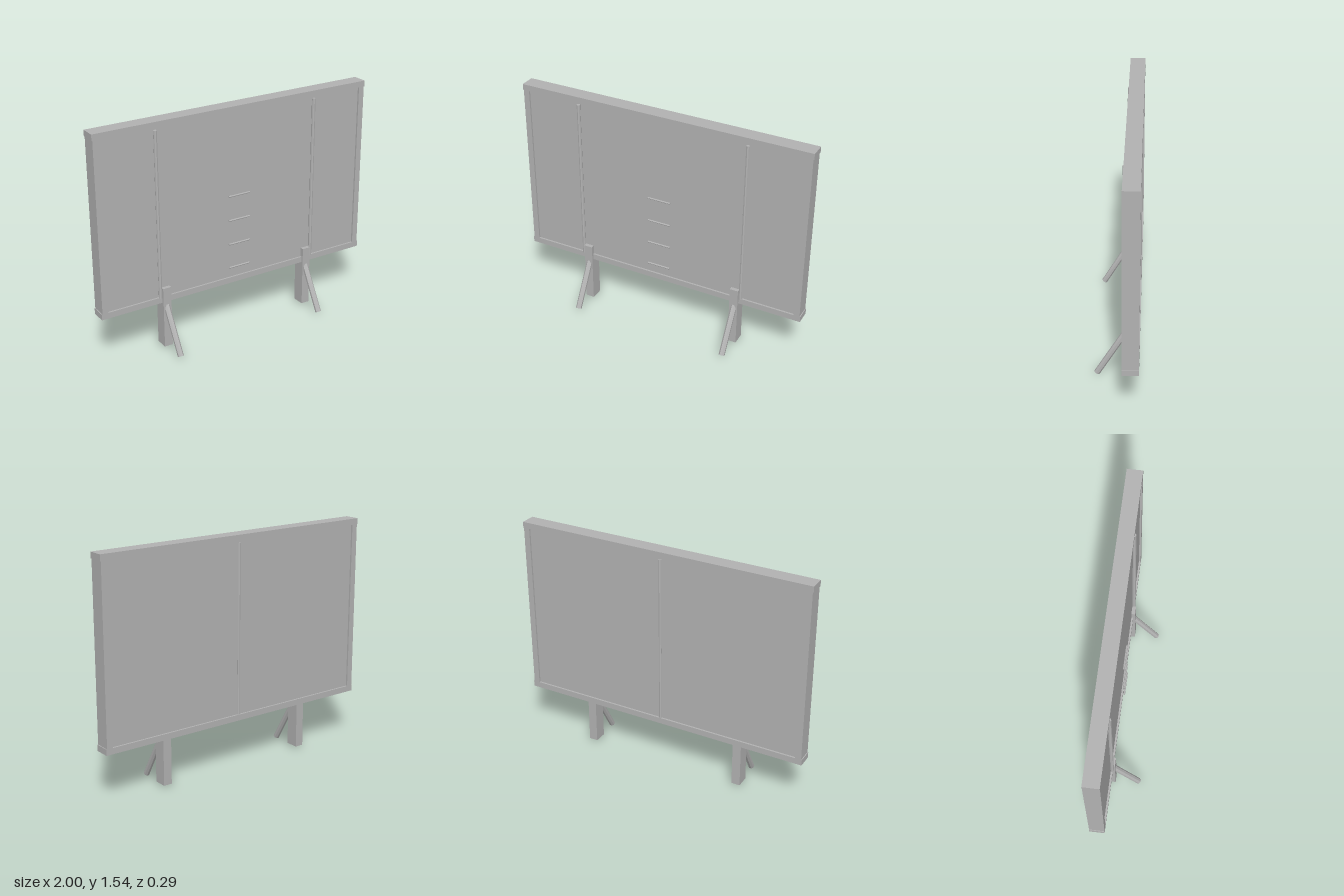
import * as THREE from 'three';

export function createModel() {
  const group = new THREE.Group();
  const grey = new THREE.MeshStandardMaterial({ color: 0xb2b2b2, flatShading: true });
  grey.name = 'plain grey';

  const add = (name, geometry, x, y, z) => {
    const mesh = new THREE.Mesh(geometry, grey);
    mesh.name = name;
    mesh.position.set(x, y, z);
    group.add(mesh);
    return mesh;
  };
  const box = (name, w, h, d, x, y, z) => add(name, new THREE.BoxGeometry(w, h, d), x, y, z);
  const rod = (name, r, length, x, y, z) =>
    add(name, new THREE.CylinderGeometry(r, r, length, 8), x, y, z);

  // Board, recessed within the frame on both faces
  const bottom = 0.33, top = 1.543, rail = 0.04, depth = 0.102, boardZ = -0.093;
  const middle = (bottom + top) / 2;
  box('board', 1.93, top - bottom - rail, 0.078, 0, middle, boardZ);

  // Frame: the end rails sit slightly inside the long rails
  box('topRail', 2, rail, depth, 0, top - rail / 2, boardZ);
  box('bottomRail', 2, rail, depth, 0, bottom + rail / 2, boardZ);
  for (const s of [-1, 1]) {
    box(s > 0 ? 'leftRail' : 'rightRail', 0.04, top - bottom - 2 * rail, depth, s * 0.975, middle, boardZ);
  }

  // Long vertical bars on the front and one on the back
  for (const s of [-1, 1]) rod('frontBar', 0.012, 1.125, s * 0.585, 0.928, -0.045);
  rod('backBar', 0.01, 1.125, 0, 0.928, -0.133);

  // Short horizontal rungs up the middle
  for (let i = 0; i < 4; i++) {
    rod('rung', 0.006, 0.158, 0, 0.45 + i * 0.1677, -0.029).rotation.z = Math.PI / 2;
  }

  // Posts with slanted props
  const foot = new THREE.Vector3(0, 0.011, 0.127);
  const head = new THREE.Vector3(0, 0.317, -0.05);
  const axis = head.clone().sub(foot);
  const centre = head.clone().add(foot).multiplyScalar(0.5);
  for (const s of [-1, 1]) {
    box('post', 0.058, 0.418, 0.087, s * 0.545, 0.224, -0.0715);
    const prop = rod('prop', 0.02, axis.length(), s * 0.545, centre.y, centre.z);
    prop.geometry.rotateY(Math.PI / 8);
    prop.quaternion.setFromUnitVectors(new THREE.Vector3(0, 1, 0), axis.clone().normalize());
  }
  return group;
}
